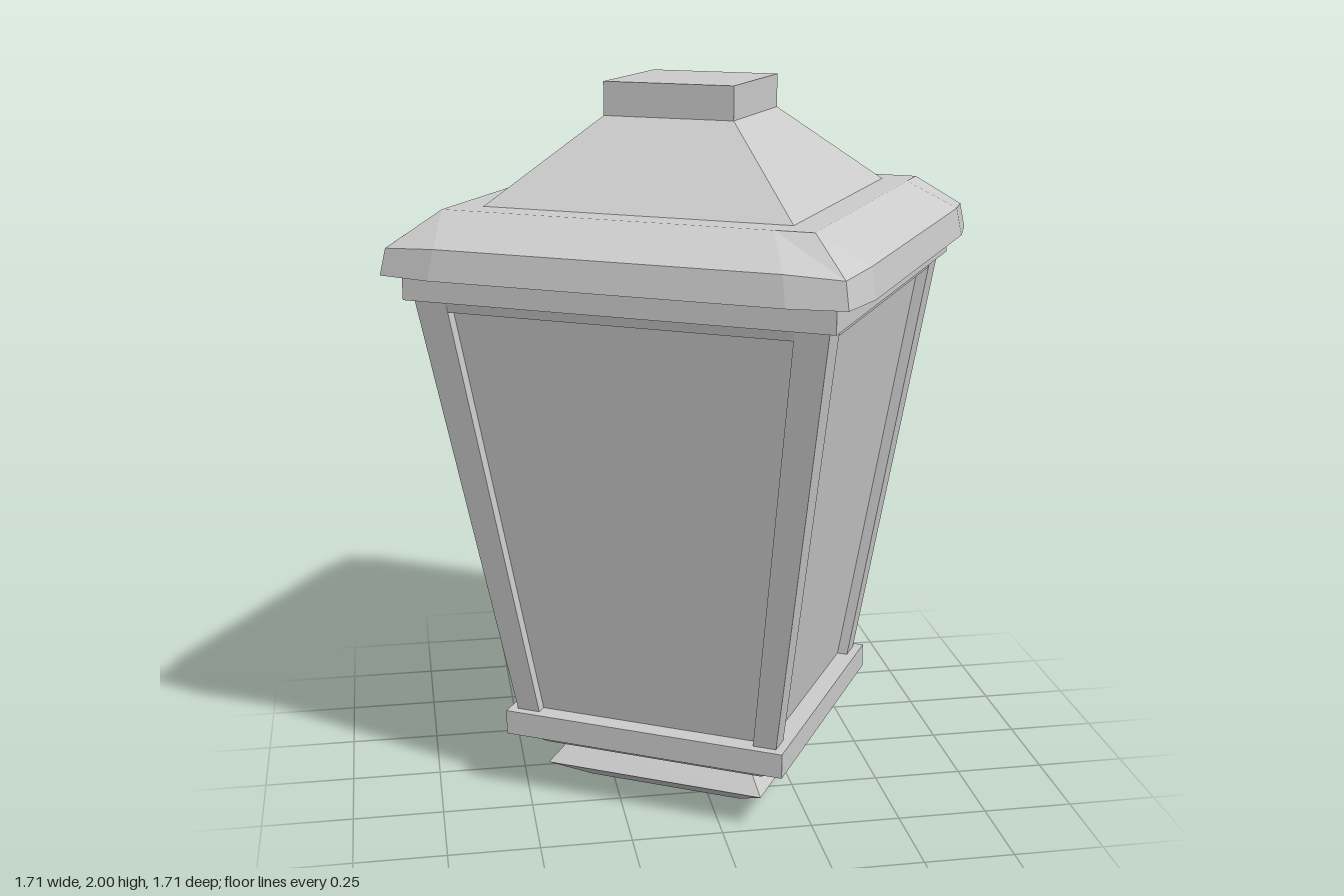
import * as THREE from 'three';

const material = new THREE.MeshStandardMaterial({ color: 0xcccccc, flatShading: true });

// Closed solid through rings of [x, y, z], listed bottom to top
function loft(name, rings) {
  const pos = [];
  const tri = (...pts) => pts.forEach((p) => pos.push(...p));
  const n = rings[0].length;
  const centre = (ring) => [0, 1, 2].map((k) => ring.reduce((s, p) => s + p[k], 0) / n);
  const first = rings[0], last = rings[rings.length - 1];
  const low = centre(first), high = centre(last);
  for (let i = 0; i < n; i++) {
    const j = (i + 1) % n;
    for (let r = 0; r + 1 < rings.length; r++) {
      const a = rings[r], b = rings[r + 1];
      tri(a[i], b[i], b[j]);
      tri(a[i], b[j], a[j]);
    }
    tri(low, first[i], first[j]);
    tri(high, last[j], last[i]);
  }
  const geometry = new THREE.BufferGeometry();
  geometry.setAttribute('position', new THREE.Float32BufferAttribute(pos, 3));
  geometry.computeVertexNormals();
  const mesh = new THREE.Mesh(geometry, material);
  mesh.name = name;
  return mesh;
}

// Square ring of half width h at height y, centred on (c, c)
const square = (y, h, c = 0) =>
  [[1, -1], [1, 1], [-1, 1], [-1, -1]].map(([x, z]) => [c + x * h, y, c + z * h]);

// Square ring with bowed sides: side points at (side, +-t), corners at (corner, corner)
function bowed(y, side, t, corner, cornerY = y) {
  const ring = [];
  for (let q = 0; q < 4; q++) {
    const c = Math.round(Math.cos(q * Math.PI / 2)), s = Math.round(Math.sin(q * Math.PI / 2));
    for (const [x, z, h] of [[side, -t, y], [side, t, y], [corner, corner, cornerY]]) {
      ring.push([x * c - z * s, h, x * s + z * c]);
    }
  }
  return ring;
}

export function createModel() {
  const model = new THREE.Group();
  model.name = 'lantern';
  const lantern = new THREE.Group();
  lantern.name = 'lanternBody';
  lantern.rotation.y = -Math.PI / 6;
  model.add(lantern);

  // Stacked square parts: [name, [y, half width], ...]
  const parts = [
    ['foot', [0, 0.227], [0.065, 0.322], [0.13, 0.27]],
    ['baseTaper', [0.13, 0.322], [0.18, 0.388]],
    ['basePlate', [0.18, 0.41], [0.25, 0.41]],
    ['glassPanels', [0.25, 0.355], [1.44, 0.53]],
    ['frameHeader', [1.43, 0.558], [1.46, 0.564]],
    ['upperBand', [1.46, 0.586], [1.535, 0.586]],
    ['roof', [1.69, 0.425], [1.91, 0.183]],
    ['roofCap', [1.91, 0.183], [2, 0.183]],
  ];
  for (const [name, ...levels] of parts) {
    lantern.add(loft(name, levels.map(([y, h]) => square(y, h))));
  }

  // Roof rim with slightly bowed sides
  lantern.add(loft('roofRim', [
    bowed(1.53, 0.652, 0.477, 0.627),
    bowed(1.61, 0.638, 0.465, 0.615, 1.6),
    bowed(1.69, 0.505, 0.4, 0.505),
  ]));

  // Leaning corner posts, standing proud of the panels
  const bottom = { h: 0.385, w: 0.066 }, top = { h: 0.564, w: 0.09 };
  for (let i = 0; i < 4; i++) {
    const post = loft('cornerPost', [
      square(0.25, bottom.w / 2, bottom.h - bottom.w / 2),
      square(1.46, top.w / 2, top.h - top.w / 2),
    ]);
    post.rotation.y = i * Math.PI / 2;
    lantern.add(post);
  }
  return model;
}
